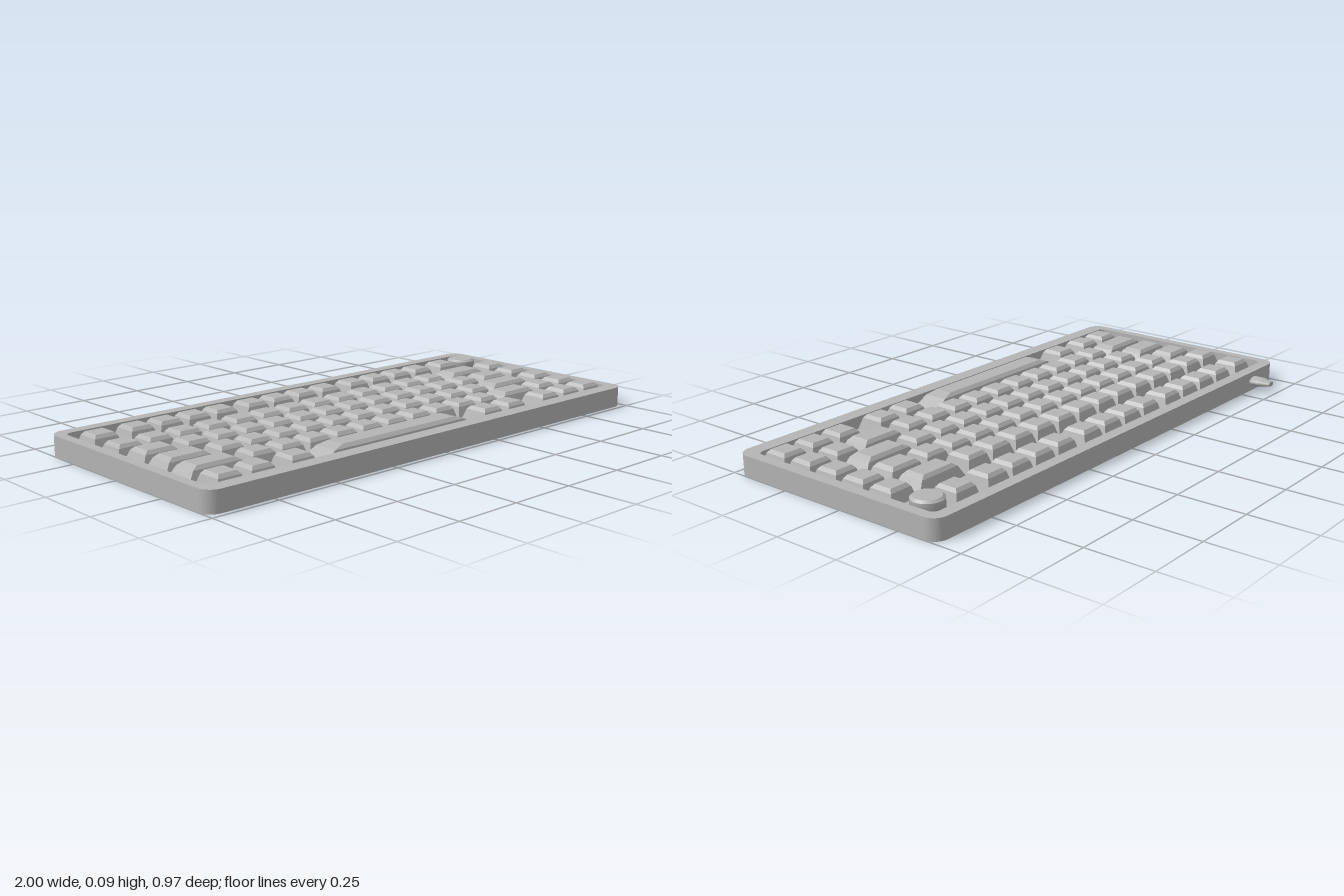
import * as THREE from 'three';

const U = 0.113;          // base width of a single key
const PITCH = 0.119;      // spacing between keys

// Rounded rectangle in plan; shape y becomes -z once laid flat
function roundedRect(Target, x0, x1, z0, z1, r) {
  const s = new Target();
  const a = -z1, b = -z0;
  s.moveTo(x0 + r, a);
  s.lineTo(x1 - r, a);
  s.absarc(x1 - r, a + r, r, -Math.PI / 2, 0, false);
  s.lineTo(x1, b - r);
  s.absarc(x1 - r, b - r, r, 0, Math.PI / 2, false);
  s.lineTo(x0 + r, b);
  s.absarc(x0 + r, b - r, r, Math.PI / 2, Math.PI, false);
  s.lineTo(x0, a + r);
  s.absarc(x0 + r, a + r, r, Math.PI, Math.PI * 1.5, false);
  return s;
}

function slab(shape, y, height) {
  const g = new THREE.ExtrudeGeometry(shape, { depth: height, bevelEnabled: false, curveSegments: 6 });
  g.rotateX(-Math.PI / 2);
  g.translate(0, y, 0);
  return g;
}

// Stack of rectangles [y, halfX, halfZ] closed at both ends
function keycapGeometry(levels) {
  const pos = [];
  const ring = ([y, hx, hz]) => [[-hx, y, hz], [hx, y, hz], [hx, y, -hz], [-hx, y, -hz]];
  const quad = (a, b, c, d) => pos.push(...a, ...b, ...c, ...a, ...c, ...d);
  for (let i = 0; i < levels.length - 1; i++) {
    const lo = ring(levels[i]), hi = ring(levels[i + 1]);
    for (let k = 0; k < 4; k++) {
      const n = (k + 1) % 4;
      quad(lo[k], lo[n], hi[n], hi[k]);
    }
  }
  quad(...ring(levels[levels.length - 1]));
  quad(...ring(levels[0]).reverse());
  const g = new THREE.BufferGeometry();
  g.setAttribute('position', new THREE.Float32BufferAttribute(pos, 3));
  g.computeVertexNormals();
  return g;
}

export function createModel() {
  const model = new THREE.Group();
  model.name = 'keyboard';
  const grey = new THREE.MeshStandardMaterial({ color: 0xb4b4b4 });
  grey.name = 'grey';
  const add = (parent, geometry, name, x = 0, y = 0, z = 0) => {
    const m = new THREE.Mesh(geometry, grey);
    m.name = name;
    m.position.set(x, y, z);
    parent.add(m);
    return m;
  };

  // Case: bottom plate and raised rim around the key well
  const outline = () => roundedRect(THREE.Shape, -1, 1, -0.405, 0.482, 0.05);
  add(model, slab(outline(), 0, 0.03), 'caseBottom');
  const rim = outline();
  rim.holes.push(roundedRect(THREE.Path, -0.964, 0.96, -0.361, 0.425, 0.025));
  add(model, slab(rim, 0.03, 0.045), 'caseRim');

  // Keys: wider caps keep the proportions of the single cap
  const keys = new THREE.Group();
  keys.name = 'keys';
  model.add(keys);
  const key = (left, z, width = U, name = 'key') => {
    const s = width / U;
    add(keys, keycapGeometry([
      [0.036, 0.0565 * s, 0.0565],
      [0.075, 0.044 * s, 0.044],
      [0.087, 0.034 * s, 0.034],
    ]), name, left + width / 2, 0, z);
  };
  const run = (left, z, count) => {
    for (let i = 0; i < count; i++) key(left + i * PITCH, z);
  };

  const rows = [
    { z: -0.272, runs: [[-0.941, 1], [-0.797, 4], [-0.297, 4], [0.206, 4], [0.711, 1]], wide: [] },
    { z: -0.12, runs: [[-0.947, 13], [0.838, 1]], wide: [[0.612, 0.213]] },
    { z: 0, runs: [[-0.762, 12], [0.838, 1]], wide: [[-0.933, 0.157], [0.666, 0.16]] },
    { z: 0.12, runs: [[-0.719, 11], [0.838, 1]], wide: [[-0.933, 0.205], [0.581, 0.24]] },
    { z: 0.24, runs: [[-0.687, 10], [0.719, 2]], wide: [[-0.933, 0.24], [0.506, 0.207]] },
    { z: 0.36, runs: [[-0.917, 1], [-0.788, 1], [-0.628, 1], [0.27, 1], [0.399, 1], [0.594, 1], [0.716, 1], [0.838, 1]], wide: [] },
  ];
  for (const { z, runs, wide } of rows) {
    for (const [left, count] of runs) run(left, z, count);
    for (const [left, width] of wide) key(left, z, width, 'wideKey');
  }

  // Space bar with long sloping ends
  add(keys, keycapGeometry([
    [0.036, 0.365, 0.0565],
    [0.075, 0.305, 0.046],
    [0.087, 0.262, 0.034],
  ]), 'spaceBar', -0.134, 0, 0.36);

  // Rotary knob with bevelled top edge
  const knob = [[0, 0.03], [0.056, 0.03], [0.056, 0.079], [0.056, 0.079], [0.047, 0.087], [0.047, 0.087], [0, 0.087]];
  add(model, new THREE.LatheGeometry(knob.map(p => new THREE.Vector2(...p)), 32), 'knob', 0.89, 0, -0.27);

  // Cable plug: flattened sleeve tapering towards the back
  const plug = [[0, 0], [1, 0], [1, 0.045], [1, 0.045], [0.55, 0.088], [0.55, 0.088], [0, 0.088]];
  const plugGeometry = new THREE.LatheGeometry(plug.map(p => new THREE.Vector2(...p)), 16);
  plugGeometry.rotateX(-Math.PI / 2);
  plugGeometry.scale(0.032, 0.017, 1);
  add(model, plugGeometry, 'cablePlug', -0.835, 0.037, -0.395);

  return model;
}
